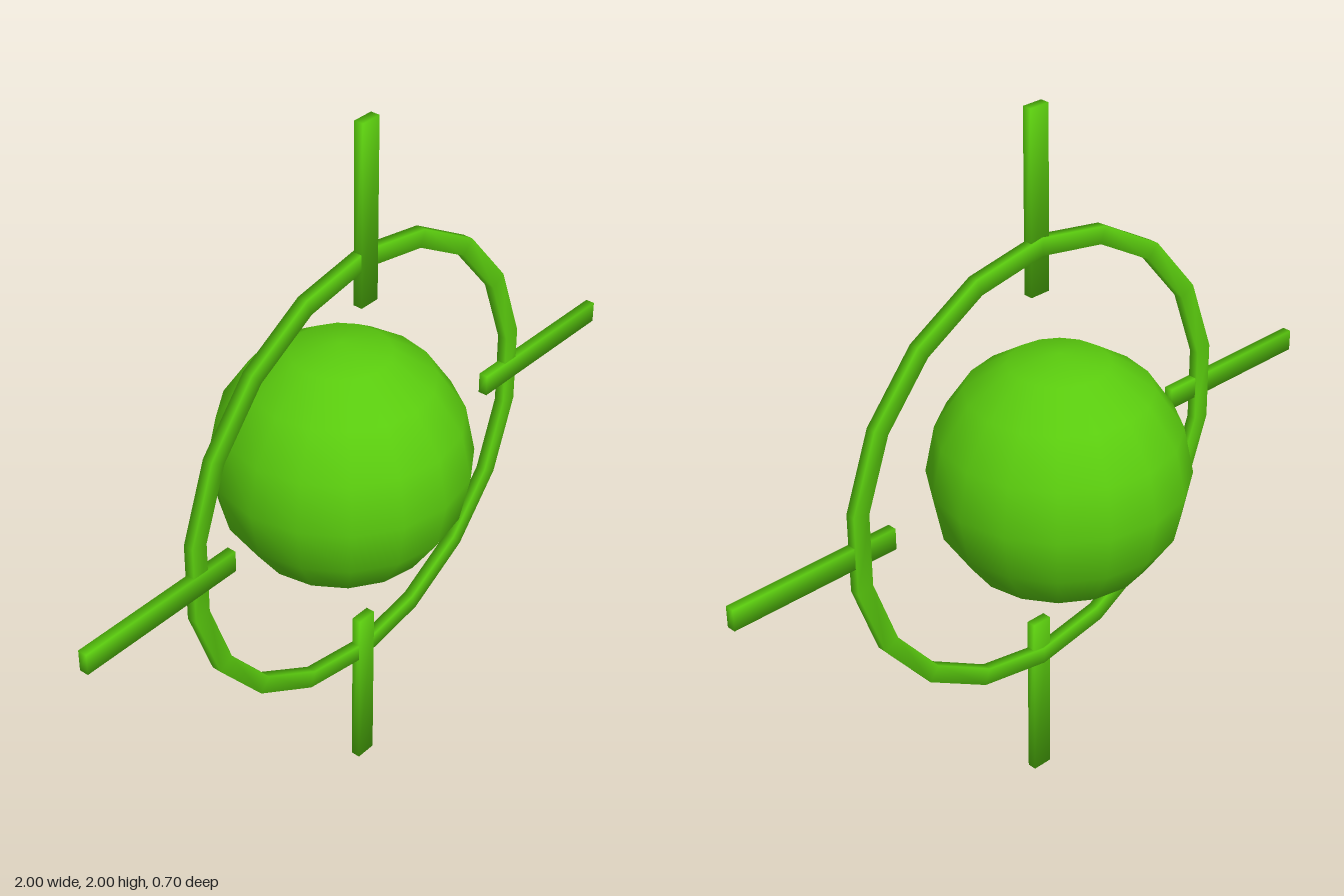
import * as THREE from 'three';
import { mergeVertices } from 'three/addons/utils/BufferGeometryUtils.js';

// Weld shared corners so shading runs smoothly over the edges
function weld(geometry) {
  geometry.deleteAttribute('uv');
  geometry.deleteAttribute('normal');
  const welded = mergeVertices(geometry, 1e-4);
  welded.computeVertexNormals();
  return welded;
}

// Box whose corner normals point diagonally outward
function softBox(w, h, d) {
  const g = weld(new THREE.BoxGeometry(w, h, d));
  const p = g.attributes.position, n = g.attributes.normal;
  const k = 1 / Math.sqrt(3);
  for (let i = 0; i < p.count; i++) {
    n.setXYZ(i, Math.sign(p.getX(i)) * k, Math.sign(p.getY(i)) * k, Math.sign(p.getZ(i)) * k);
  }
  return g;
}

export function createModel() {
  const model = new THREE.Group();
  model.name = 'crosshair';
  const green = new THREE.MeshStandardMaterial({ color: 0x5acb0e });
  green.name = 'green';

  const add = (name, geometry, x, y, z) => {
    const mesh = new THREE.Mesh(geometry, green);
    mesh.name = name;
    mesh.position.set(x, y, z);
    model.add(mesh);
    return mesh;
  };

  // Central ball
  add('ball', new THREE.SphereGeometry(0.348, 16, 8), -0.006, 1.007, 0);

  // Flat 18-sided ring standing upright around the ball
  const inner = 0.598, outer = 0.647, half = 0.014;
  const section = [[inner, -half], [outer, -half], [outer, half], [inner, half], [inner, -half]]
    .map(([r, z]) => new THREE.Vector2(r, z));
  const ring = weld(new THREE.LatheGeometry(section, 18));
  ring.rotateX(Math.PI / 2);
  add('ring', ring, -0.006, 1.007, 0.071);

  // Four bars crossing the ring
  for (const [name, dx, dy] of [['leftBar', 1, 0], ['rightBar', -1, 0], ['topBar', 0, 1], ['bottomBar', 0, -1]]) {
    const geometry = dx ? softBox(0.5, 0.06, 0.026) : softBox(0.06, 0.5, 0.026);
    add(name, geometry, dx * 0.75, 1 + dy * 0.75, 0.074);
  }
  return model;
}
